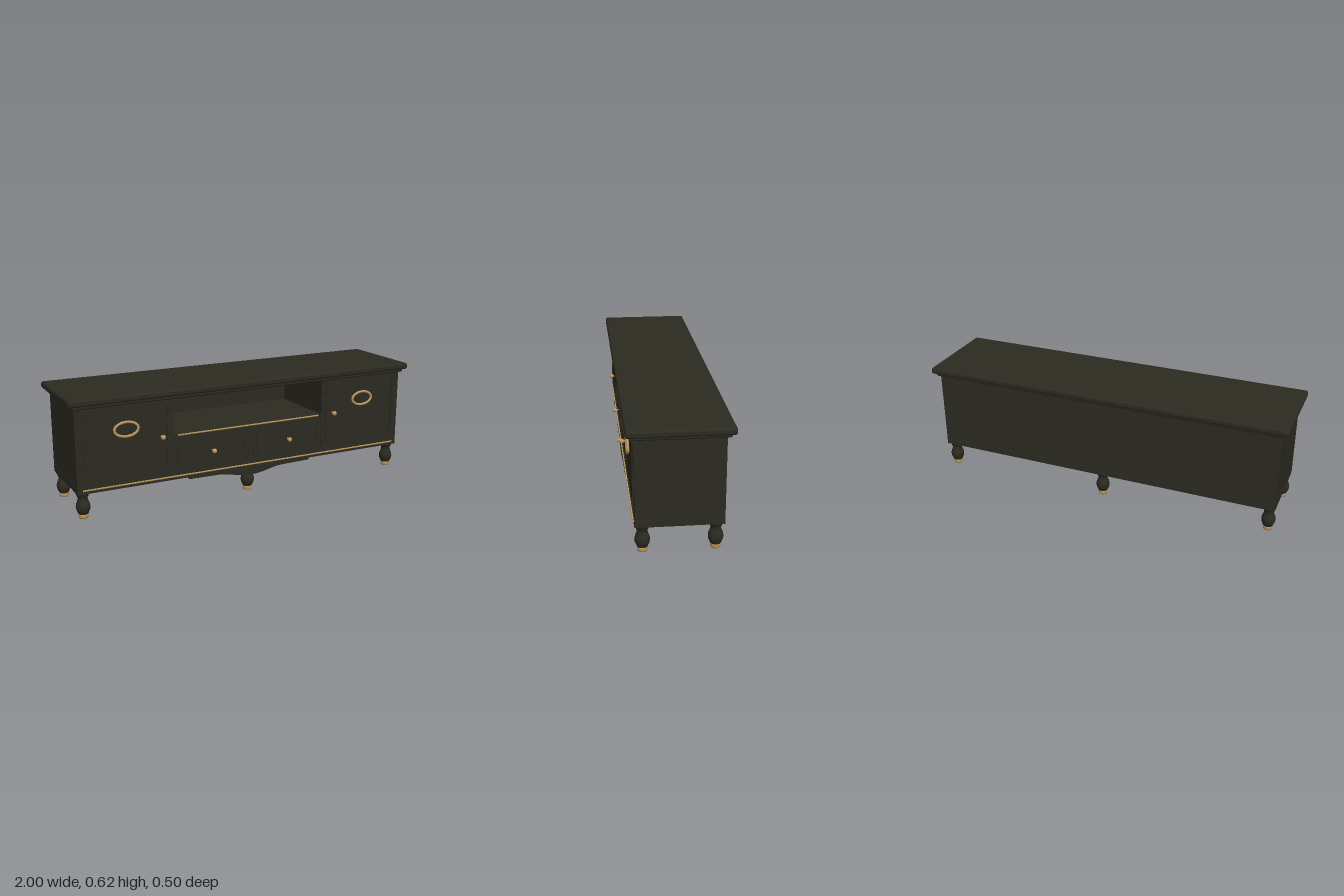
import * as THREE from 'three';
import { mergeGeometries } from 'three/addons/utils/BufferGeometryUtils.js';
import { RoundedBoxGeometry } from 'three/addons/geometries/RoundedBoxGeometry.js';

export function createModel() {
  const model = new THREE.Group();
  model.name = 'mediaCabinet';
  const wood = new THREE.MeshStandardMaterial({ color: 0x2c2b21 });
  wood.name = 'dark olive wood';
  const gold = new THREE.MeshStandardMaterial({ color: 0xbf9a5a });
  gold.name = 'antique gold';

  function add(name, geometry, material, x = 0, y = 0, z = 0) {
    const mesh = new THREE.Mesh(geometry, material);
    mesh.name = name;
    mesh.position.set(x, y, z);
    model.add(mesh);
    return mesh;
  }

  // Box given by its limits; a radius rounds the edges
  function box(name, x0, x1, y0, y1, z0, z1, r = 0) {
    const s = [x1 - x0, y1 - y0, z1 - z0];
    const g = r ? new RoundedBoxGeometry(...s, 3, r) : new THREE.BoxGeometry(...s);
    return add(name, g, wood, (x0 + x1) / 2, (y0 + y1) / 2, (z0 + z1) / 2);
  }

  // Rectangular moulding with an open middle
  function frame(name, x, y, w, h, border, z, depth) {
    const rect = (path, a, b) =>
      path.moveTo(-a, -b).lineTo(a, -b).lineTo(a, b).lineTo(-a, b).closePath();
    const shape = rect(new THREE.Shape(), w / 2, h / 2);
    shape.holes.push(rect(new THREE.Path(), w / 2 - border, h / 2 - border));
    const g = new THREE.ExtrudeGeometry(shape, { depth, bevelEnabled: false });
    add(name, g, wood, x, y, z);
  }

  // String of small beads along a list of points
  function beads(name, points, r) {
    const parts = points.map(p => new THREE.SphereGeometry(r, 8, 6).translate(p.x, p.y, p.z));
    add(name, mergeGeometries(parts), gold);
  }
  function beadRow(name, half, y, z, r) {
    const n = Math.round(half / r / 0.85);
    const points = [];
    for (let i = 0; i <= n; i++) points.push(new THREE.Vector3(-half + 2 * half * i / n, y, z));
    beads(name, points, r);
  }

  const profile = list => list.map(([r, y]) => new THREE.Vector2(r, y));

  // Tabletop and the mouldings under it
  box('tabletop', -1, 1, 0.588, 0.623, -0.25, 0.25, 0.012);
  box('corniceMoulding', -0.98, 0.98, 0.57, 0.59, -0.23, 0.23, 0.008);

  // Carcass with an open niche in the middle
  for (const s of [-1, 1]) {
    box('sideCupboard', Math.min(s * 0.445, s * 0.965), Math.max(s * 0.445, s * 0.965),
      0.172, 0.575, -0.21, 0.21);
  }
  box('drawerCase', -0.445, 0.445, 0.172, 0.35, -0.21, 0.208);
  box('nicheShelf', -0.445, 0.445, 0.35, 0.376, -0.21, 0.211);
  box('backPanel', -0.445, 0.445, 0.376, 0.575, -0.21, -0.198);
  box('plinthCore', -0.96, 0.96, 0.165, 0.175, -0.206, 0.206);
  box('plinth', -0.965, 0.965, 0.135, 0.169, -0.211, 0.211);

  // Doors, drawers and their knobs
  const knob = new THREE.LatheGeometry(profile([
    [0.006, 0], [0.004, 0.006], [0.004, 0.013], [0.011, 0.017],
    [0.013, 0.023], [0.011, 0.029], [0.006, 0.033], [0, 0.034]]), 16).rotateX(Math.PI / 2);

  for (const s of [-1, 1]) {
    const doorX = s * 0.7;
    box('door', doorX - 0.246, doorX + 0.246, 0.183, 0.565, 0.2, 0.2125);
    frame('doorMoulding', doorX, 0.3775, 0.455, 0.335, 0.012, 0.21, 0.008);
    box('doorPanel', doorX - 0.205, doorX + 0.205, 0.228, 0.527, 0.208, 0.215);
    add('doorKnob', knob, gold, s * 0.515, 0.38, 0.215);

    const drawerX = s * 0.228;
    box('drawer', drawerX - 0.208, drawerX + 0.208, 0.198, 0.34, 0.2, 0.2125);
    frame('drawerMoulding', drawerX, 0.269, 0.39, 0.112, 0.01, 0.21, 0.008);
    add('drawerKnob', knob, gold, drawerX, 0.267, 0.215);

    // Beaded oval ornament
    const oval = [];
    for (let i = 0; i < 40; i++) {
      const a = i / 40 * Math.PI * 2;
      oval.push(new THREE.Vector3(s * 0.705 + 0.063 * Math.cos(a), 0.445 + 0.037 * Math.sin(a), 0.224));
    }
    beads('ovalOrnament', oval, 0.0072);
  }

  // Beaded trims
  beadRow('shelfBeading', 0.42, 0.373, 0.212, 0.005);
  beadRow('plinthBeading', 0.935, 0.153, 0.213, 0.005);

  // Curved apron under the front
  const apron = new THREE.Shape();
  apron.moveTo(-0.365, 0.14).lineTo(-0.365, 0.126).lineTo(-0.22, 0.124);
  apron.bezierCurveTo(-0.12, 0.124, -0.09, 0.095, 0, 0.094);
  apron.bezierCurveTo(0.09, 0.095, 0.12, 0.124, 0.22, 0.124);
  apron.lineTo(0.365, 0.126).lineTo(0.365, 0.14).closePath();
  add('apron', new THREE.ExtrudeGeometry(apron, { depth: 0.017, bevelEnabled: false, curveSegments: 12 }),
    wood, 0, 0, 0.199);

  // Six turned legs with gold feet
  const leg = new THREE.LatheGeometry(profile([
    [0.024, 0.02], [0.028, 0.03], [0.034, 0.043], [0.037, 0.058], [0.035, 0.073],
    [0.029, 0.088], [0.025, 0.101], [0.025, 0.113], [0.030, 0.117], [0.030, 0.123],
    [0.034, 0.128], [0.036, 0.137]]), 16);
  const foot = new THREE.LatheGeometry(profile([
    [0, 0], [0.022, 0], [0.0245, 0.006], [0.0255, 0.018], [0.025, 0.023], [0, 0.023]]), 16);
  for (const x of [-0.93, 0, 0.93]) {
    for (const z of [-0.172, 0.173]) {
      add('leg', leg, wood, x, 0, z);
      add('footCap', foot, gold, x, 0, z);
    }
  }
  return model;
}
